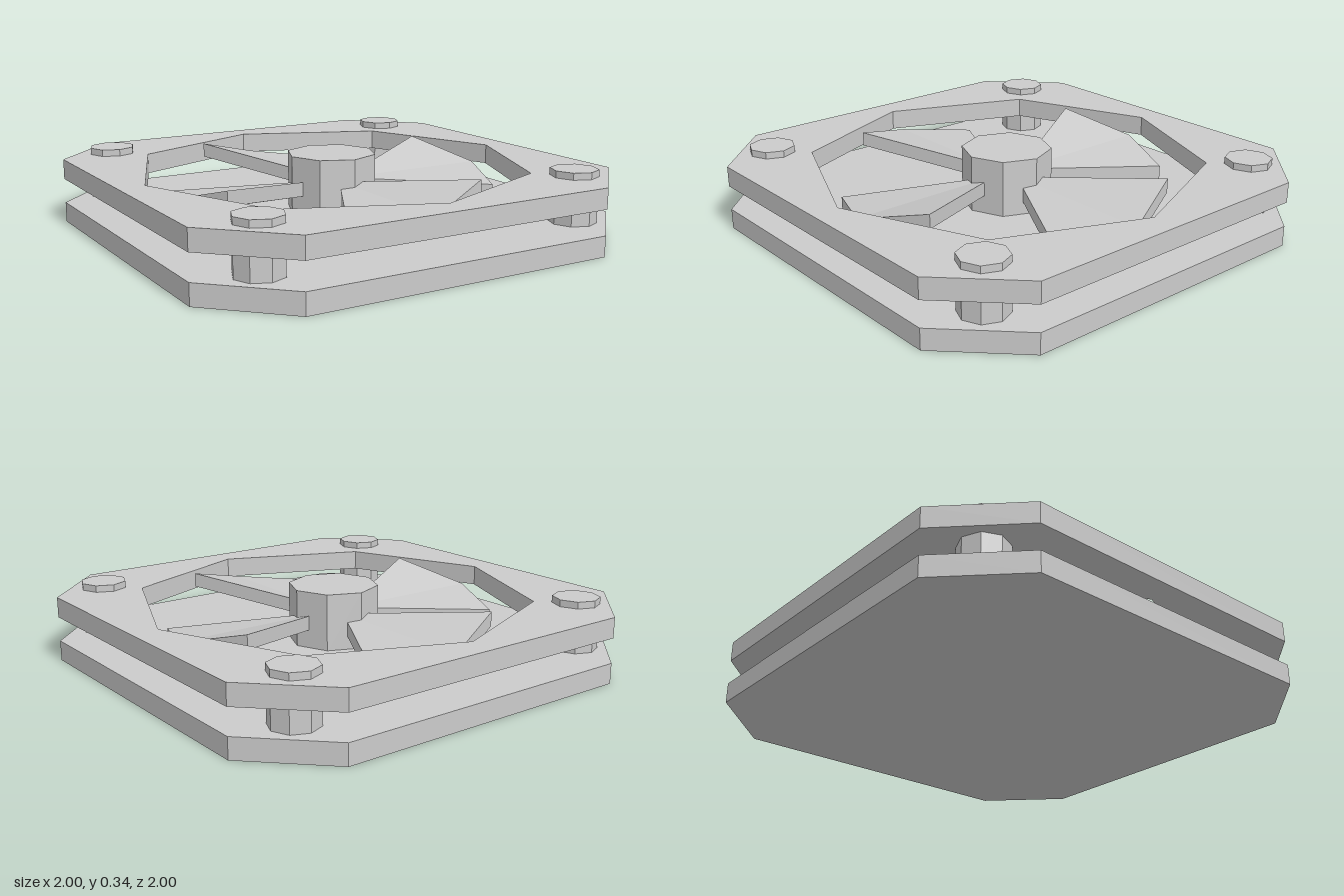
import * as THREE from 'three';

const material = new THREE.MeshStandardMaterial({ color: 0xcccccc, flatShading: true });

function addMesh(parent, name, geometry, x = 0, y = 0, z = 0) {
  const mesh = new THREE.Mesh(geometry, material);
  mesh.name = name;
  mesh.position.set(x, y, z);
  parent.add(mesh);
  return mesh;
}

// Square plate with cut corners, lying flat, optionally with an octagonal opening
function plateGeometry(thickness, holeRadius) {
  const a = 1, b = 0.7;
  const shape = new THREE.Shape([
    [a, -b], [a, b], [b, a], [-b, a], [-a, b], [-a, -b], [-b, -a], [b, -a],
  ].map(([x, y]) => new THREE.Vector2(x, y)));
  if (holeRadius) {
    const points = [];
    for (let i = 0; i < 8; i++) {
      const t = -i * Math.PI / 4;
      points.push(new THREE.Vector2(holeRadius * Math.cos(t), holeRadius * Math.sin(t)));
    }
    shape.holes.push(new THREE.Path(points));
  }
  const geometry = new THREE.ExtrudeGeometry(shape, { depth: thickness, bevelEnabled: false });
  return geometry.rotateX(-Math.PI / 2);
}

// Pitched blade pointing to +z: low on its -x edge, high on its +x edge
function bladeGeometry() {
  const thickness = 0.063;
  const bottom = [[0, 0.155, 0.07], [-0.32, 0.115, 0.665], [0, 0.155, 0.795], [0.32, 0.242, 0.665]];
  const top = bottom.map(([x, y, z]) => [x, y + thickness, z]);
  const positions = [];
  const triangle = (a, b, c) => positions.push(...a, ...b, ...c);
  for (const [i, j, k] of [[0, 1, 2], [0, 2, 3]]) {
    triangle(top[i], top[j], top[k]);
    triangle(bottom[i], bottom[k], bottom[j]);
  }
  for (let i = 0; i < 4; i++) {
    const j = (i + 1) % 4;
    triangle(bottom[i], bottom[j], top[j]);
    triangle(bottom[i], top[j], top[i]);
  }
  const geometry = new THREE.BufferGeometry();
  geometry.setAttribute('position', new THREE.Float32BufferAttribute(positions, 3));
  geometry.computeVertexNormals();
  return geometry;
}

export function createModel() {
  const model = new THREE.Group();
  model.name = 'coolingFan';

  // Solid base and open top frame
  addMesh(model, 'basePlate', plateGeometry(0.09));
  addMesh(model, 'topFrame', plateGeometry(0.09, 0.88), 0, 0.2, 0);

  // Corner posts running through the top frame
  const post = new THREE.CylinderGeometry(0.103, 0.103, 0.24, 8);
  for (const x of [-0.75, 0.75]) {
    for (const z of [-0.75, 0.75]) addMesh(model, 'cornerPost', post, x, 0.2, z);
  }

  // Hub and four blades
  const rotor = new THREE.Group();
  rotor.name = 'rotor';
  model.add(rotor);
  addMesh(rotor, 'hub', new THREE.CylinderGeometry(0.2, 0.2, 0.26, 8), 0, 0.21, 0);
  const blade = bladeGeometry();
  for (let i = 0; i < 4; i++) {
    addMesh(rotor, 'blade', blade).rotation.y = i * Math.PI / 2;
  }
  return model;
}
